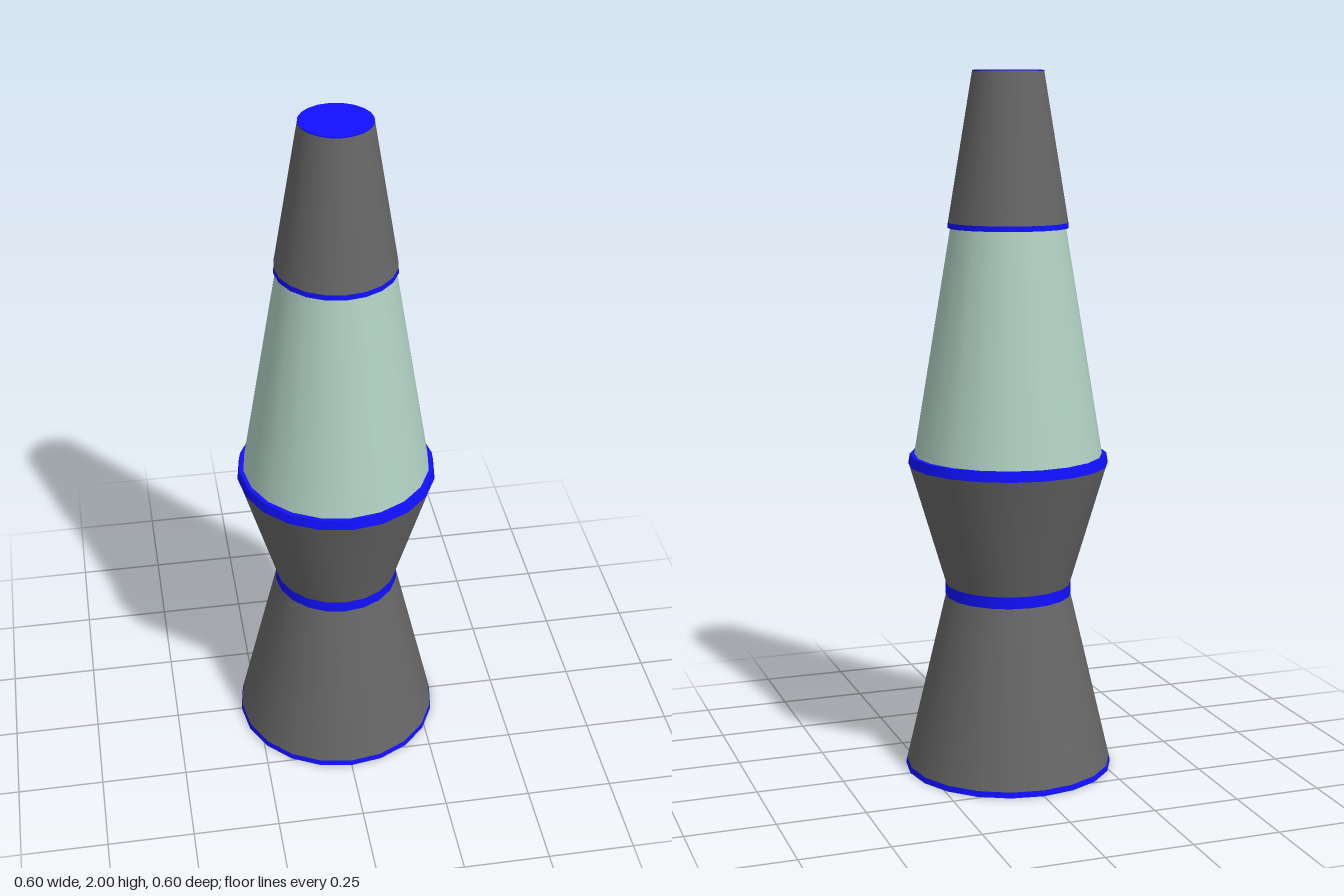
import * as THREE from 'three';

const SIDES = 20;

export function createModel() {
  const model = new THREE.Group();
  const material = (color) => new THREE.MeshStandardMaterial({ color, side: THREE.DoubleSide });
  const metal = material(0x666666);
  const blue = material(0x1010ff);
  const glass = material(0xb0d0c2);

  // Turned part from [radius, height] pairs, listed from bottom to top outside
  function turned(name, mat, profile) {
    const points = profile.map(([r, y]) => new THREE.Vector2(r, y));
    const mesh = new THREE.Mesh(new THREE.LatheGeometry(points, SIDES), mat);
    mesh.name = name;
    model.add(mesh);
  }

  // Hourglass stand, hollow and open underneath
  turned('lowerBase', metal, [[0.297, 0.015], [0.18, 0.513]]);
  turned('upperBase', metal, [[0.18, 0.545], [0.285, 0.897]]);

  // Tapered bottle
  turned('glassBottle', glass, [[0.27, 0.915], [0.161, 1.575]]);

  // Cap with a flat top
  turned('capShell', metal, [[0.169, 1.58], [0.1, 1.997]]);
  turned('capTop', blue, [[0.1, 2], [0, 2]]);
  turned('capTopEdge', blue, [[0.1, 1.996], [0.1, 2]]);

  // Coloured trim bands
  turned('footTrim', blue, [[0.3, 0], [0.297, 0.016]]);
  turned('waistTrim', blue, [[0.181, 0.512], [0.181, 0.546]]);
  turned('collarTrim', blue, [[0.286, 0.896], [0.281, 0.924]]);
  turned('collarLedge', blue, [[0.281, 0.924], [0.268, 0.924]]);
  turned('capTrim', blue, [[0.17, 1.566], [0.169, 1.581]]);
  turned('capUnderside', blue, [[0.161, 1.566], [0.17, 1.566]]);

  return model;
}
